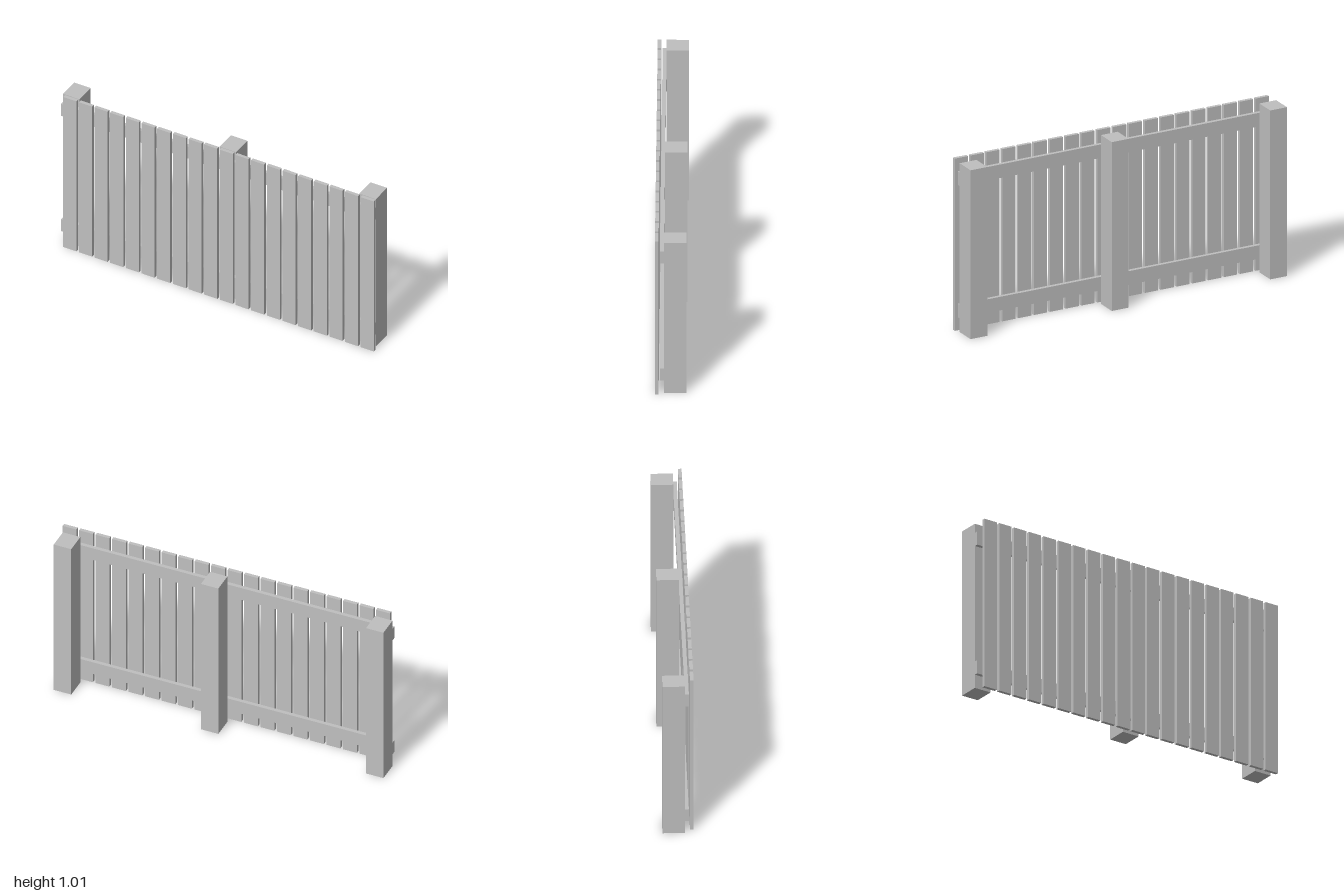
import * as THREE from 'three';

export function createModel() {
  const fence = new THREE.Group();
  fence.name = 'fence';
  const greyWood = new THREE.MeshStandardMaterial({ color: 0xbfbfbf });
  greyWood.name = 'greyWood';

  // Box given by its extents on each axis
  function board(name, [x0, x1], [y0, y1], [z0, z1]) {
    const mesh = new THREE.Mesh(new THREE.BoxGeometry(x1 - x0, y1 - y0, z1 - z0), greyWood);
    mesh.position.set((x0 + x1) / 2, (y0 + y1) / 2, (z0 + z1) / 2);
    mesh.name = name;
    fence.add(mesh);
  }

  // Square posts at the back
  [-1, -0.006, 0.88].forEach((x, i) =>
    board(`post${i + 1}`, [x, x + 0.105], [0, 0.995], [-0.086, 0.037]));

  // Horizontal rails resting on the posts
  board('lowerRail', [-1, 0.985], [0.08, 0.16], [0.037, 0.059]);
  board('upperRail', [-1, 0.985], [0.86, 0.94], [0.037, 0.059]);

  // Pickets, set slightly in front of the rails
  const count = 20, width = 0.083, first = -0.97;
  const pitch = (1 - width - first) / (count - 1);
  for (let i = 0; i < count; i++) {
    const x = first + i * pitch;
    board(`picket${i + 1}`, [x, x + width], [0, 1.015], [0.066, 0.086]);
  }
  return fence;
}
